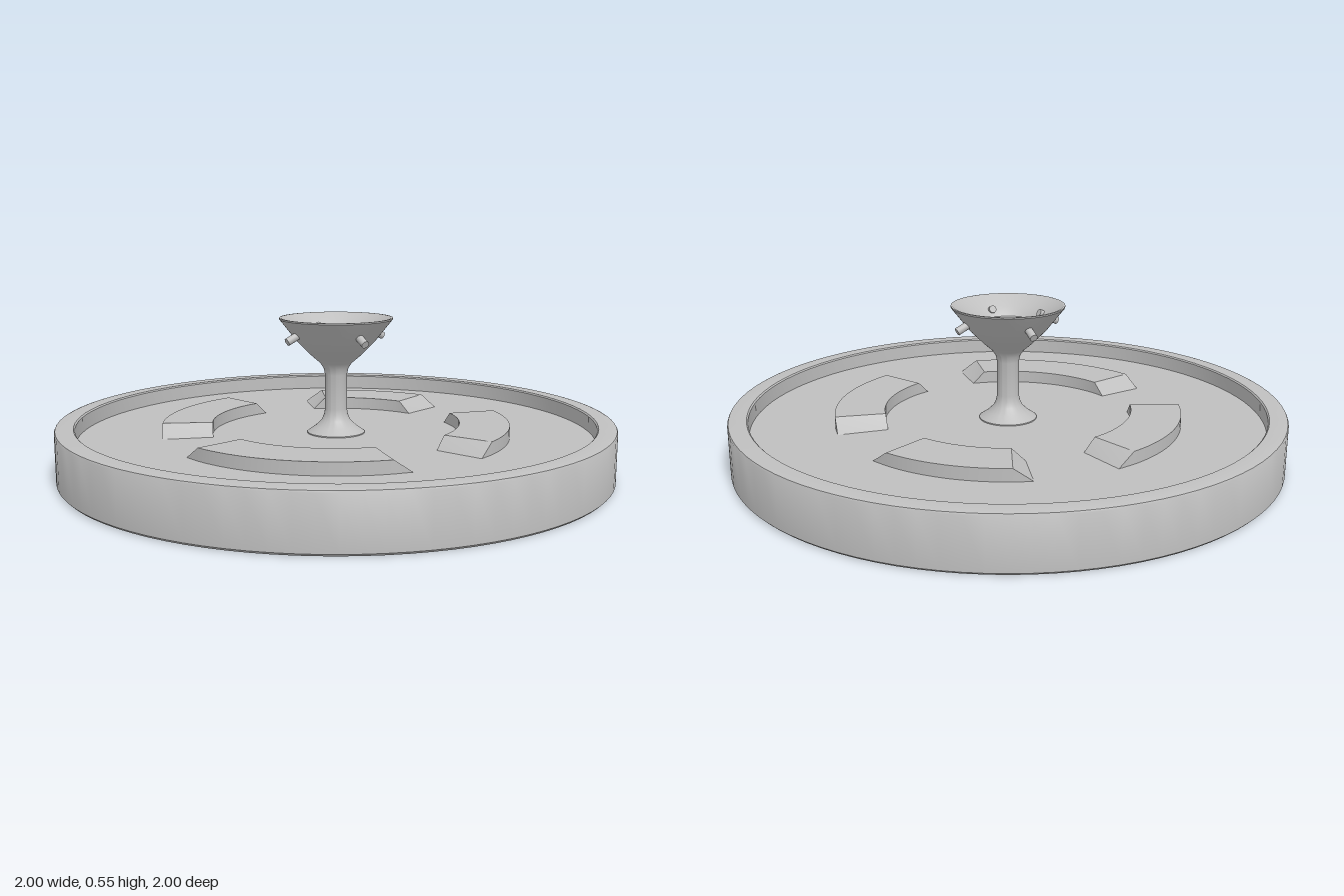
import * as THREE from 'three';
import { toCreasedNormals } from 'three/addons/utils/BufferGeometryUtils.js';

const FLOOR = 0.13;
const RAD = Math.PI / 180;

export function createModel() {
  const stone = new THREE.MeshStandardMaterial({ color: 0xbfbfbf });
  stone.name = 'grey stone';
  const model = new THREE.Group();
  model.name = 'fountain';

  const add = (name, geometry, parent = model) => {
    const mesh = new THREE.Mesh(geometry, stone);
    mesh.name = name;
    parent.add(mesh);
    return mesh;
  };
  const lathe = (profile, segments) => toCreasedNormals(
    new THREE.LatheGeometry(profile.map(([r, y]) => new THREE.Vector2(r, y)), segments), 0.6);

  // Round basin with a softened rim and a shallow sunken floor
  add('basin', lathe([
    [0, 0], [0.992, 0], [1, 0.008], [1, 0.182], [0.997, 0.188], [0.99, 0.19],
    [0.935, 0.19], [0.93, 0.185], [0.93, FLOOR], [0, FLOOR],
  ], 96));

  // Pedestal: flared foot, slim stem and funnel-shaped bowl with a flat bottom
  add('pedestalBowl', lathe([
    [0.105, FLOOR - 0.005], [0.105, FLOOR + 0.004], [0.075, 0.155], [0.052, 0.178],
    [0.043, 0.2], [0.04, 0.22], [0.04, 0.345], [0.045, 0.368], [0.058, 0.388],
    [0.086, 0.412], [0.115, 0.44], [0.142, 0.468], [0.205, 0.548], [0.205, 0.553],
    [0.198, 0.553], [0.172, 0.535], [0.145, 0.515], [0.125, 0.498], [0.115, 0.485],
    [0, 0.485],
  ], 64));

  // Four spouts run through the bowl wall, sloping down and outward
  const spouts = new THREE.Group();
  spouts.name = 'spouts';
  model.add(spouts);
  for (let i = 0; i < 4; i++) {
    const a = (45 + i * 90) * RAD;
    const at = (r, y) => new THREE.Vector3(r * Math.sin(a), y, r * Math.cos(a));
    const path = new THREE.LineCurve3(at(0.125, 0.512), at(0.2, 0.475));
    const spout = add('spout', new THREE.CylinderGeometry(0.014, 0.014, path.getLength(), 16), spouts);
    spout.position.copy(path.getPoint(0.5));
    spout.quaternion.setFromUnitVectors(new THREE.Vector3(0, 1, 0), path.getTangent(0.5));
  }

  // Curved raised blocks with sloping ends, one on each side of the pedestal
  const blocks = [
    ['frontBlock', -37, 37], ['leftBlock', 64, 127],
    ['backBlock', 154, 206], ['rightBlock', 233, 296],
  ];
  for (const [name, from, to] of blocks) add(name, arcBlock(from, to));

  return model;
}

// Sweeps a rectangular section along an arc; angles are degrees from +z towards +x
function arcBlock(from, to, inner = 0.45, outer = 0.63, top = 0.175, slope = 6) {
  const steps = 24;
  const angles = [from];
  for (let i = 0; i <= steps; i++) angles.push(from + slope + (to - from - 2 * slope) * i / steps);
  angles.push(to);

  const positions = [], index = [];
  angles.forEach((deg, i) => {
    const s = Math.sin(deg * RAD), c = Math.cos(deg * RAD);
    const isEnd = i === 0 || i === angles.length - 1;
    const y = isEnd ? FLOOR : top, base = FLOOR - 0.01;
    for (const [r, h] of [[inner, base], [outer, base], [outer, y], [inner, y]]) {
      positions.push(r * s, h, r * c);
    }
    if (i === 0) return;
    for (let k = 0; k < 4; k++) {
      const n = (k + 1) % 4, p = (i - 1) * 4, q = i * 4;
      index.push(p + k, q + k, q + n, p + k, q + n, p + n);
    }
  });

  const geometry = new THREE.BufferGeometry();
  geometry.setAttribute('position', new THREE.Float32BufferAttribute(positions, 3));
  geometry.setIndex(index);
  return toCreasedNormals(geometry, 0.45);
}
